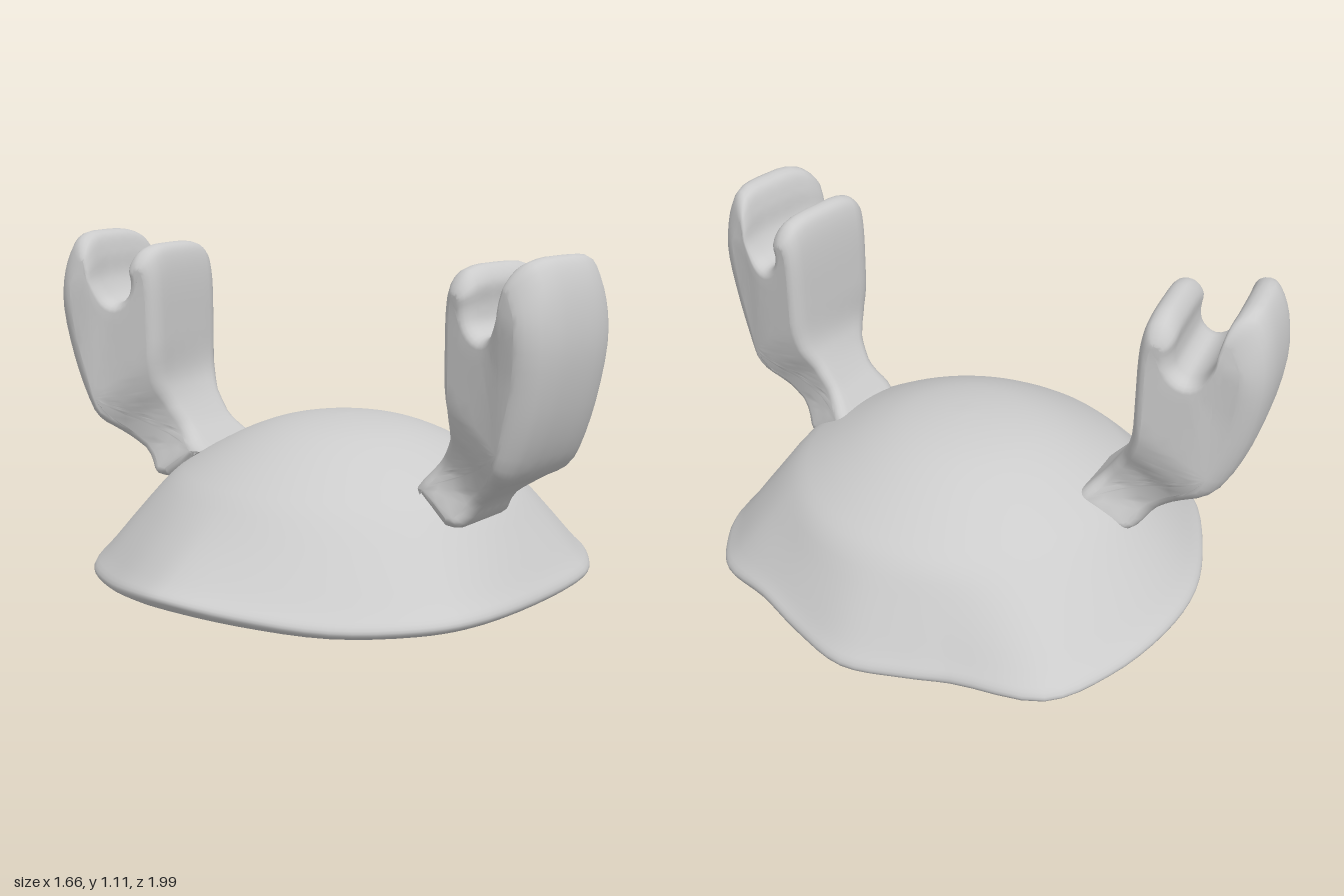
import * as THREE from 'three';
import { mergeVertices } from 'three/addons/utils/BufferGeometryUtils.js';

const material = new THREE.MeshStandardMaterial({ color: 0xcccccc, side: THREE.DoubleSide });
const { smoothstep, clamp } = THREE.MathUtils;

// Linear lookup in a list of [key, value] pairs
function lookup(table, k) {
  if (k <= table[0][0]) return table[0][1];
  for (let i = 1; i < table.length; i++) {
    const [k0, v0] = table[i - 1], [k1, v1] = table[i];
    if (k <= k1) return v0 + (v1 - v0) * (k - k0) / (k1 - k0);
  }
  return table[table.length - 1][1];
}

// Hollow dome: a round cap that spreads into a skirt with an uneven rim
function shellGeometry() {
  // rim outline as x, lift, z
  const rim = new THREE.CatmullRomCurve3([
    [0.83, 0, 0], [0.78, 0.02, 0.2], [0.71, 0.04, 0.38], [0.62, 0.01, 0.59], [0.5, 0, 0.69],
    [0.35, 0, 0.755], [0, 0, 0.77], [-0.34, 0.01, 0.74], [-0.49, 0.01, 0.66], [-0.66, 0.01, 0.46],
    [-0.78, 0.035, 0.2], [-0.83, 0.055, -0.05], [-0.79, 0.04, -0.2], [-0.69, 0.01, -0.4],
    [-0.55, 0, -0.6], [-0.3, 0.01, -0.74], [-0.05, 0.01, -0.82], [0.2, 0.01, -0.82], [0.46, 0, -0.75],
    [0.66, 0, -0.63], [0.73, 0, -0.34], [0.78, 0, -0.2],
  ].map(p => new THREE.Vector3(...p)), true);
  // fraction of the way to the rim, height
  const profile = new THREE.SplineCurve([
    [0, 0.53], [0.14, 0.523], [0.28, 0.503], [0.4, 0.47], [0.51, 0.428], [0.63, 0.373], [0.74, 0.31],
    [0.85, 0.2], [0.95, 0.09], [0.995, 0.045], [0.995, 0.02], [0.96, 0.005], [0.92, 0.015],
    [0.88, 0.06], [0.8, 0.17], [0.69, 0.275], [0.55, 0.355], [0.35, 0.43], [0.15, 0.465], [0, 0.47],
  ].map(p => new THREE.Vector2(...p))).getPoints(60);

  const N = 88, capRadius = 0.6, capEdge = 0.75, cx = 0.04;
  const pos = [], idx = [];
  const edge = Array.from({ length: N }, (_, j) => rim.getPoint(j / N));
  profile.forEach((p, i) => {
    const last = i === 0 || i === profile.length - 1;
    const f = last ? 0 : Math.max(0, p.x);
    const r = capRadius * Math.min(1, f / capEdge);
    const skirt = clamp((f - capEdge) / (1 - capEdge), 0, 1);
    edge.forEach((e, j) => {
      const a = Math.atan2(e.z, e.x - cx);
      const x = cx + r * Math.cos(a), z = r * Math.sin(a);
      pos.push(x + (e.x - x) * skirt, p.y + e.y * skirt ** 2, z + (e.z - z) * skirt);
      if (i < profile.length - 1) {
        const k = i * N + j, n = i * N + (j + 1) % N;
        idx.push(k, n, k + N, n, n + N, k + N);
      }
    });
  });
  let g = new THREE.BufferGeometry();
  g.setAttribute('position', new THREE.Float32BufferAttribute(pos, 3));
  g.setIndex(idx);
  g = mergeVertices(g, 1e-5);
  g.computeVertexNormals();
  return g;
}

// Halve long triangles until every edge is short, so flat faces can bend
function subdivide(geometry, maxLength) {
  const p = geometry.attributes.position, out = [];
  const split = (a, b, c) => {
    const ab = a.distanceTo(b), bc = b.distanceTo(c), ca = c.distanceTo(a);
    if (Math.max(ab, bc, ca) <= maxLength) out.push(a, b, c);
    else if (ab >= bc && ab >= ca) {
      const m = a.clone().add(b).multiplyScalar(0.5);
      split(a, m, c);
      split(m, b, c);
    } else if (bc >= ca) split(b, c, a);
    else split(c, a, b);
  };
  const corner = i => new THREE.Vector3().fromBufferAttribute(p, i);
  for (let i = 0; i < p.count; i += 3) split(corner(i), corner(i + 1), corner(i + 2));
  return mergeVertices(new THREE.BufferGeometry().setFromPoints(out), 1e-4);
}

// Claw: side outline (z, y) extruded across x, then narrowed at the neck, rounded and twisted
function clawGeometry(mirror) {
  const outline = new THREE.SplineCurve([
    [0.56, 0.275], [0.625, 0.285], [0.685, 0.36], [0.78, 0.425], [0.88, 0.49], [0.955, 0.645], [0.997, 0.84],
    [0.988, 1.0], [0.945, 1.105], [0.885, 1.105], [0.858, 1.04], [0.845, 0.96], [0.805, 0.9],
    [0.755, 0.88], [0.715, 0.91], [0.705, 0.965], [0.708, 1.03], [0.675, 1.075], [0.63, 1.07],
    [0.608, 1.02], [0.598, 0.92], [0.596, 0.77], [0.594, 0.64], [0.568, 0.56], [0.52, 0.48],
    [0.475, 0.425], [0.43, 0.375],
  ].map(p => new THREE.Vector2(...p))).getPoints(90);

  const bevel = 0.06, half = 0.2;
  const g = subdivide(new THREE.ExtrudeGeometry(new THREE.Shape(outline), {
    depth: 2 * (half - bevel), steps: 4, bevelEnabled: true, bevelThickness: bevel,
    bevelSize: 0.035, bevelOffset: -0.035, bevelSegments: 5,
  }), 0.07);
  const width = [[0.24, 0.16], [0.28, 0.14], [0.33, 0.125], [0.42, 0.14], [0.49, 0.175], [0.56, 0.192], [0.8, 0.195], [0.95, 0.205], [1.1, 0.195]];
  const p = g.attributes.position;
  for (let i = 0; i < p.count; i++) {
    const z = p.getX(i), y = p.getY(i);
    const t = (p.getZ(i) - (half - bevel)) / half;
    const s = 0.8 * y + 0.6 * (z - 0.6); // distance along the claw
    const x = -0.085 - 0.23 * (z - 0.65) - t * lookup(width, s);
    const twist = 0.13 * smoothstep(s, 0.35, 0.6) * (x + 0.06);
    const roundBack = 0.05 * t ** 4 * smoothstep(z, 0.75, 0.95);
    const roundTop = 0.06 * t ** 4 * smoothstep(y, 0.9, 1.1);
    p.setXYZ(i, x, y - roundTop, mirror * (z + twist - roundBack));
  }
  if (mirror < 0) g.index.array.reverse(); // keep faces outward on the mirrored copy
  g.computeVertexNormals();
  return g;
}

export function createModel() {
  const model = new THREE.Group();
  model.name = 'clawHat';
  const add = (name, geometry) => {
    const mesh = new THREE.Mesh(geometry, material);
    mesh.name = name;
    model.add(mesh);
  };
  add('domeShell', shellGeometry());
  add('frontClaw', clawGeometry(1));
  add('backClaw', clawGeometry(-1));
  return model;
}
